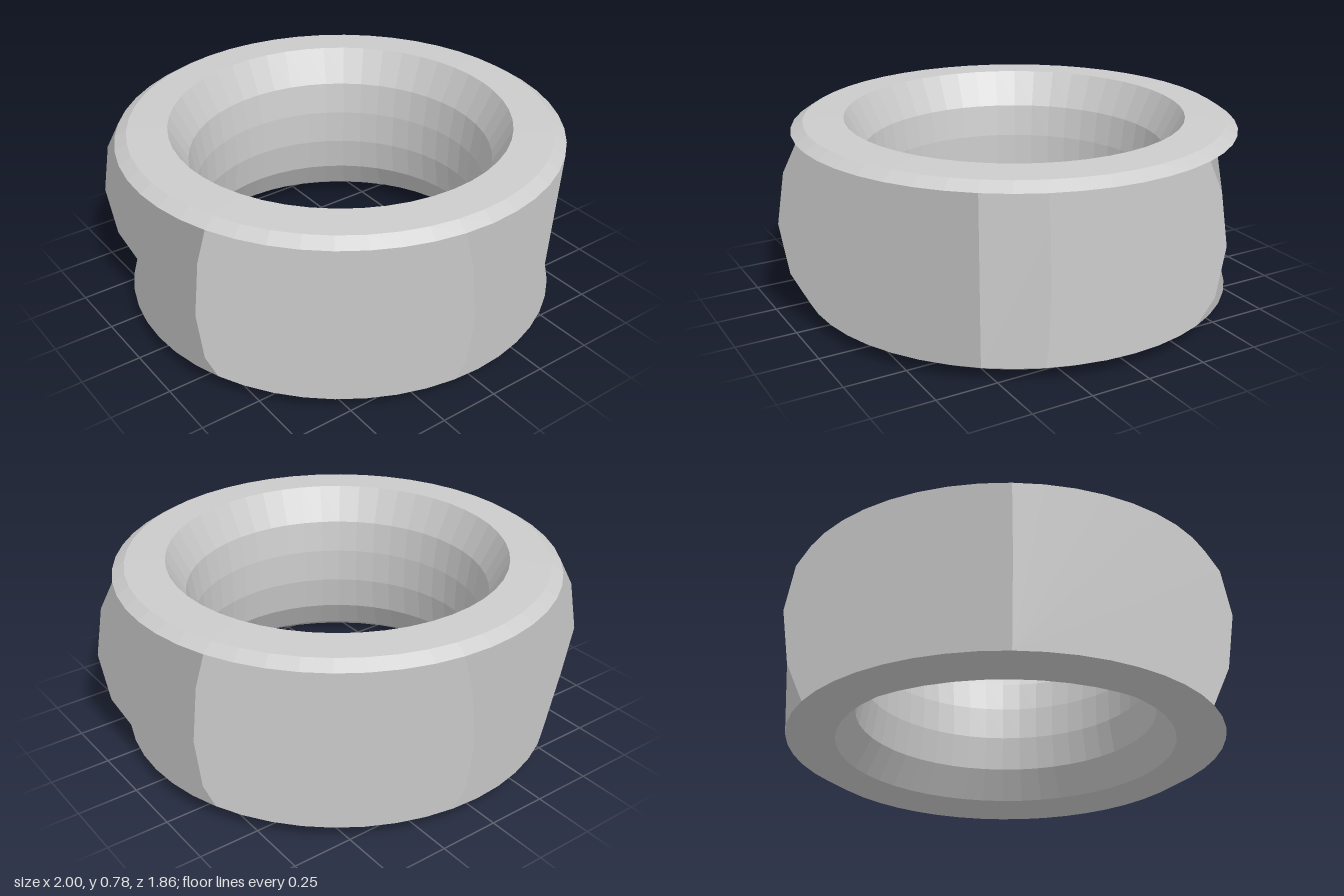
import * as THREE from 'three';

const SEGMENTS = 48;
const DEG = Math.PI / 180;
// Bulging corner profile of the body, bottom to top: [radius, height]
const CORNER = [[0.905, 0.06], [0.975, 0.2], [1.009, 0.42], [0.975, 0.63], [0.92, 0.74]];

const polar = (degrees, [r, y]) => [r * Math.cos(degrees * DEG), y, r * Math.sin(degrees * DEG)];

// One side of the body from corner angle a to angle b, joined to the round rims above and below.
// A full side reaches the whole corner profile at b; otherwise it meets b's upright inner edge,
// and a fin there closes the gap out to the corner.
function sideGeometry(a, b, { full = false, fin = false }) {
  const A = CORNER.map((p) => polar(a, p));
  const B = CORNER.map((p) => polar(b, p));
  const steps = Math.round(Math.abs(b - a) * SEGMENTS / 360);
  const arc = (level) => Array.from({ length: steps + 1 },
    (_, i) => polar(a + (b - a) * i / steps, CORNER[level]));
  const bottom = arc(0);
  const top = arc(4);
  const triangles = [];

  // Flat between the corners
  for (let i = 1; i < 3; i++) {
    if (full) triangles.push([A[i], A[i + 1], B[i + 1]], [A[i], B[i + 1], B[i]]);
    else triangles.push([A[i], A[i + 1], B[0]]);
  }
  if (full) triangles.push([A[1], B[1], B[0]], [A[3], B[4], B[3]]);
  else triangles.push([A[3], A[4], B[0]]);

  // Fans out to the rims
  for (let i = 0; i < steps; i++) {
    triangles.push([A[1], bottom[i + 1], bottom[i]]);
    triangles.push([full ? A[3] : B[0], top[i], top[i + 1]]);
  }

  if (fin) {
    for (let i = 1; i < 4; i++) triangles.push([B[0], B[i + 1], B[i]]);
  }

  // Keep the corners counter-clockwise when the side runs backwards
  if (b < a) triangles.forEach((t) => t.reverse());

  // One normal for the whole side, so it shades as a plain flat
  const normal = polar((a + b) / 2, [1, 0]);
  const geometry = new THREE.BufferGeometry();
  geometry.setAttribute('position', new THREE.Float32BufferAttribute(triangles.flat(2), 3));
  geometry.setAttribute('normal',
    new THREE.Float32BufferAttribute(triangles.flatMap(() => [...normal, ...normal, ...normal]), 3));
  return geometry;
}

function lathe(points) {
  return new THREE.LatheGeometry(points.map(([r, y]) => new THREE.Vector2(r, y)), SEGMENTS);
}

export function createModel() {
  const group = new THREE.Group();
  const faceted = new THREE.MeshStandardMaterial({ color: 0xcccccc, flatShading: true });
  const plain = new THREE.MeshStandardMaterial({ color: 0xcccccc });
  const add = (name, geometry, material) => {
    const mesh = new THREE.Mesh(geometry, material);
    mesh.name = name;
    group.add(mesh);
  };

  // Sides of the body, round from the left corner
  add('frontLeftSide', sideGeometry(7.5, 67.5, { fin: true }), plain);
  add('frontSide', sideGeometry(67.5, 127.5, { fin: true }), plain);
  add('frontRightSide', sideGeometry(127.5, 187.5, { fin: true }), plain);
  add('backRightSide', sideGeometry(187.5, 247.5, { full: true }), plain);
  add('backSide', sideGeometry(247.5, 292.5, { full: true }), plain);
  add('backCornerWedge', sideGeometry(292.5, 307.5, {}), plain);
  add('backLeftSide', sideGeometry(7.5, -52.5, {}), plain);

  // Bottom rim, bevelled on both sides
  add('bottomRim', lathe([[0.705, 0.06], [0.8, 0], [0.905, 0.06]]), faceted);

  // Top rim with its outer bevel
  add('topRim', lathe([[0.92, 0.74], [0.87, 0.772], [0.705, 0.778]]), faceted);

  // Bore, flared at both ends
  add('bore', lathe([
    [0.705, 0.778], [0.63, 0.63], [0.61, 0.49], [0.607, 0.34], [0.63, 0.19], [0.705, 0.06],
  ]), faceted);

  return group;
}
